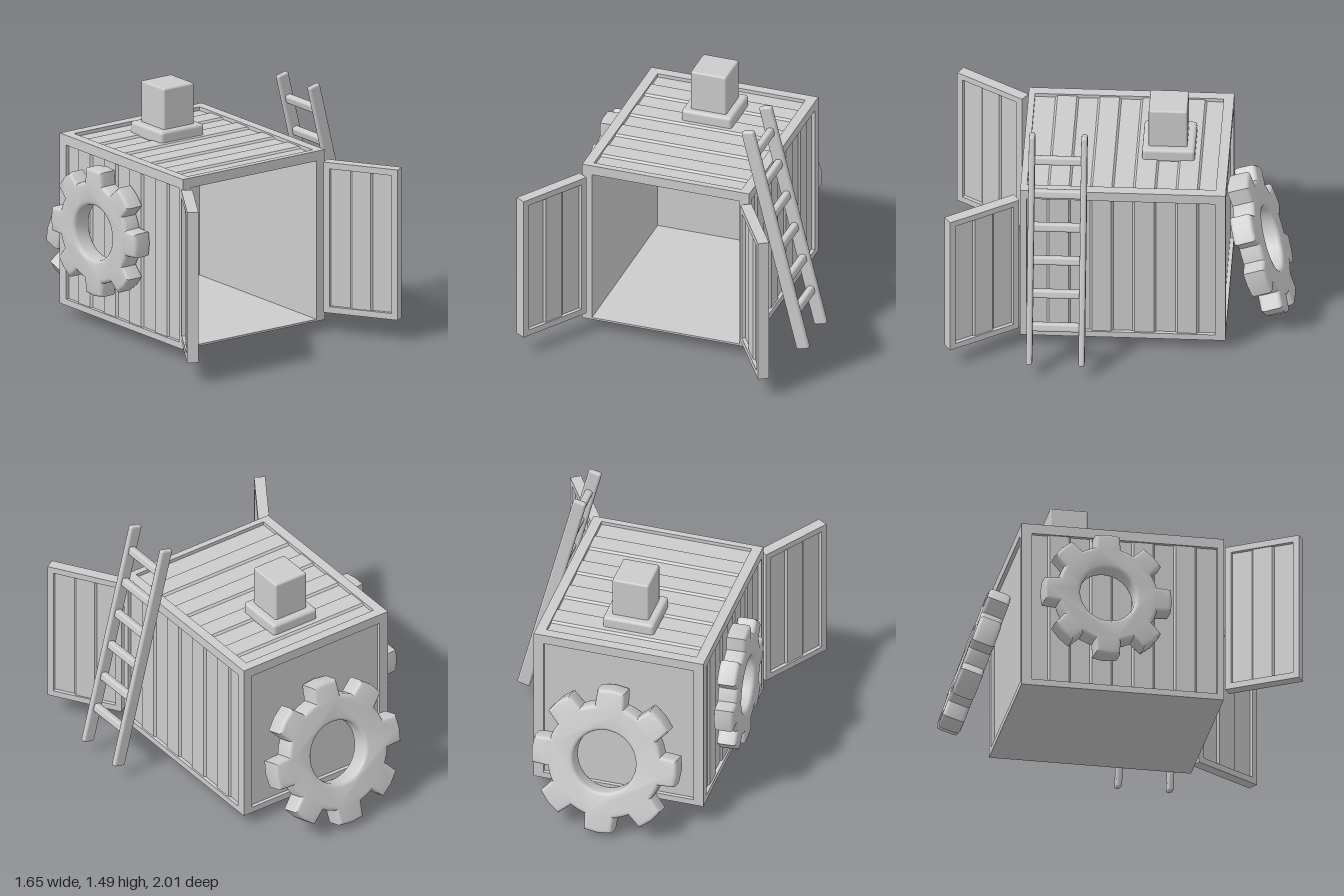
import * as THREE from 'three';
import { toCreasedNormals } from 'three/addons/utils/BufferGeometryUtils.js';
import { RoundedBoxGeometry } from 'three/addons/geometries/RoundedBoxGeometry.js';

const grey = new THREE.MeshStandardMaterial({ color: 0xcccccc });

function part(name, geometry, parent, x = 0, y = 0, z = 0) {
  const m = new THREE.Mesh(geometry, grey);
  m.name = name;
  m.position.set(x, y, z);
  parent.add(m);
  return m;
}

const roundBox = (w, h, d, r) => new RoundedBoxGeometry(w, h, d, 2, r);

// Framed panel facing local +z; raised and lowered planks run along local y.
function panel(name, w, h, t, planks, twoSided = false) {
  const g = new THREE.Group();
  g.name = name;
  const f = 0.038, iw = w / 2 - f, ih = h / 2 - f;

  const frame = new THREE.Shape();
  frame.moveTo(-w / 2, -h / 2).lineTo(w / 2, -h / 2).lineTo(w / 2, h / 2).lineTo(-w / 2, h / 2).closePath();
  const hole = new THREE.Path();
  hole.moveTo(-iw, -ih).lineTo(-iw, ih).lineTo(iw, ih).lineTo(iw, -ih).closePath();
  frame.holes.push(hole);
  part(name + 'Frame', new THREE.ExtrudeGeometry(frame, { depth: t, bevelEnabled: false }), g, 0, 0, -t / 2);

  // Plank cross-section: x across the panel, second coordinate is depth
  const low = t / 2 - 0.022, rise = 0.012, slope = 0.012, pitch = 2 * iw / planks;
  const edge = [];
  for (let i = 0; i < planks; i++) {
    const d = low + (i % 2 ? rise : 0);
    edge.push([-iw + i * pitch + (i ? slope / 2 : 0), d]);
    edge.push([-iw + (i + 1) * pitch - (i < planks - 1 ? slope / 2 : 0), d]);
  }
  const back = twoSided ? edge.map(([x, d]) => [x, -d]).reverse() : [[iw, -t / 2], [-iw, -t / 2]];
  const section = new THREE.Shape([...edge, ...back].map(([x, d]) => new THREE.Vector2(x, -d)));
  const boards = new THREE.ExtrudeGeometry(section, { depth: 2 * ih, bevelEnabled: false });
  boards.translate(0, 0, -ih);
  boards.rotateX(-Math.PI / 2);
  part(name + 'Planks', boards, g);
  return g;
}

// Eight-toothed cog in the local xy plane
function cog(name, R, t) {
  const root = R * 0.79, bevel = 0.022, n = 8;
  const s = new THREE.Shape();
  const at = (r, a) => [r * Math.sin(a), r * Math.cos(a)];
  for (let i = 0; i < n; i++) {
    const a = -i * 2 * Math.PI / n;
    const pts = [at(root, a + 0.26), at(R, a + 0.19), at(R * 1.005, a), at(R, a - 0.19), at(root, a - 0.26),
      at(root, a - 0.34), at(root, a - Math.PI / n)];
    pts.forEach((p, k) => (i || k ? s.lineTo(...p) : s.moveTo(...p)));
  }
  s.closePath();
  const bore = new THREE.Path();
  bore.absarc(0, 0, R * 0.43, 0, Math.PI * 2, true);
  s.holes.push(bore);
  const geo = new THREE.ExtrudeGeometry(s, {
    depth: t - 2 * bevel, bevelThickness: bevel, bevelSize: bevel, bevelOffset: -bevel, bevelSegments: 3, curveSegments: 32,
  });
  geo.translate(0, 0, -t / 2 + bevel);
  const m = new THREE.Mesh(toCreasedNormals(geo, 0.55), grey);
  m.name = name;
  return m;
}

function ladder() {
  const g = new THREE.Group();
  g.name = 'ladder';
  for (const s of [-1, 1]) part('ladderRail', roundBox(0.08, 1.44, 0.036, 0.014), g, 0, 0, s * 0.153);
  for (let i = 0; i < 6; i++) {
    part('ladderRung', roundBox(0.045, 0.052, 0.3, 0.014), g, 0, (0.325 + i * 0.203 - 0.797) / 0.971, 0);
  }
  g.position.set(0.61, 0.797, 0.343);
  g.rotation.z = 0.242;
  return g;
}

export function createModel() {
  const model = new THREE.Group();
  model.name = 'container';
  const cx = -0.047, cy = 0.5975, cz = -0.035, W = 1.035, H = 1.035, D = 1.2, t = 0.06;

  // Side walls, roof, rear wall and floor, open at the front
  for (const s of [-1, 1]) {
    const wall = panel(s > 0 ? 'leftWall' : 'rightWall', D, H, t, 9);
    wall.rotation.y = s * Math.PI / 2;
    wall.position.set(cx + s * (W - t) / 2, cy, cz);
    model.add(wall);
  }
  const roof = panel('roof', D, W, t, 9);
  roof.setRotationFromMatrix(new THREE.Matrix4().makeBasis(
    new THREE.Vector3(0, 0, 1), new THREE.Vector3(1, 0, 0), new THREE.Vector3(0, 1, 0)));
  roof.position.set(cx, cy + (H - t) / 2, cz);
  const rear = panel('rearWall', W, H, t, 1);
  rear.rotation.y = Math.PI;
  rear.position.set(cx, cy, cz - (D - t) / 2);
  model.add(roof, rear);
  part('floor', new THREE.BoxGeometry(W, 0.012, D), model, cx, 0.086, cz);

  // Pair of open doors
  for (const s of [-1, 1]) {
    const door = panel(s > 0 ? 'leftDoor' : 'rightDoor', 0.464, 0.915, 0.066, 3, true);
    door.position.set(cx + s * 0.6295, 0.5975, 0.783);
    door.rotation.y = -s * Math.atan2(0.392, 0.249);
    model.add(door);
  }

  // Chimney on the roof
  part('chimneyBase', roundBox(0.312, 0.085, 0.308, 0.02), model, -0.045, 1.13, -0.283);
  part('chimneyStack', roundBox(0.222, 0.28, 0.226, 0.012), model, -0.045, 1.28, -0.278);

  // Cog leaning on the rear wall and a smaller one on the right wall
  const rearCog = cog('rearCog', 0.442, 0.135);
  rearCog.position.set(-0.033, 0.447, -0.82);
  rearCog.rotation.x = 0.32;
  const sideCog = cog('sideCog', 0.385, 0.12);
  sideCog.position.set(-0.632, 0.645, -0.147);
  sideCog.rotation.y = -Math.PI / 2 + 0.06;
  model.add(rearCog, sideCog);

  model.add(ladder());
  return model;
}
